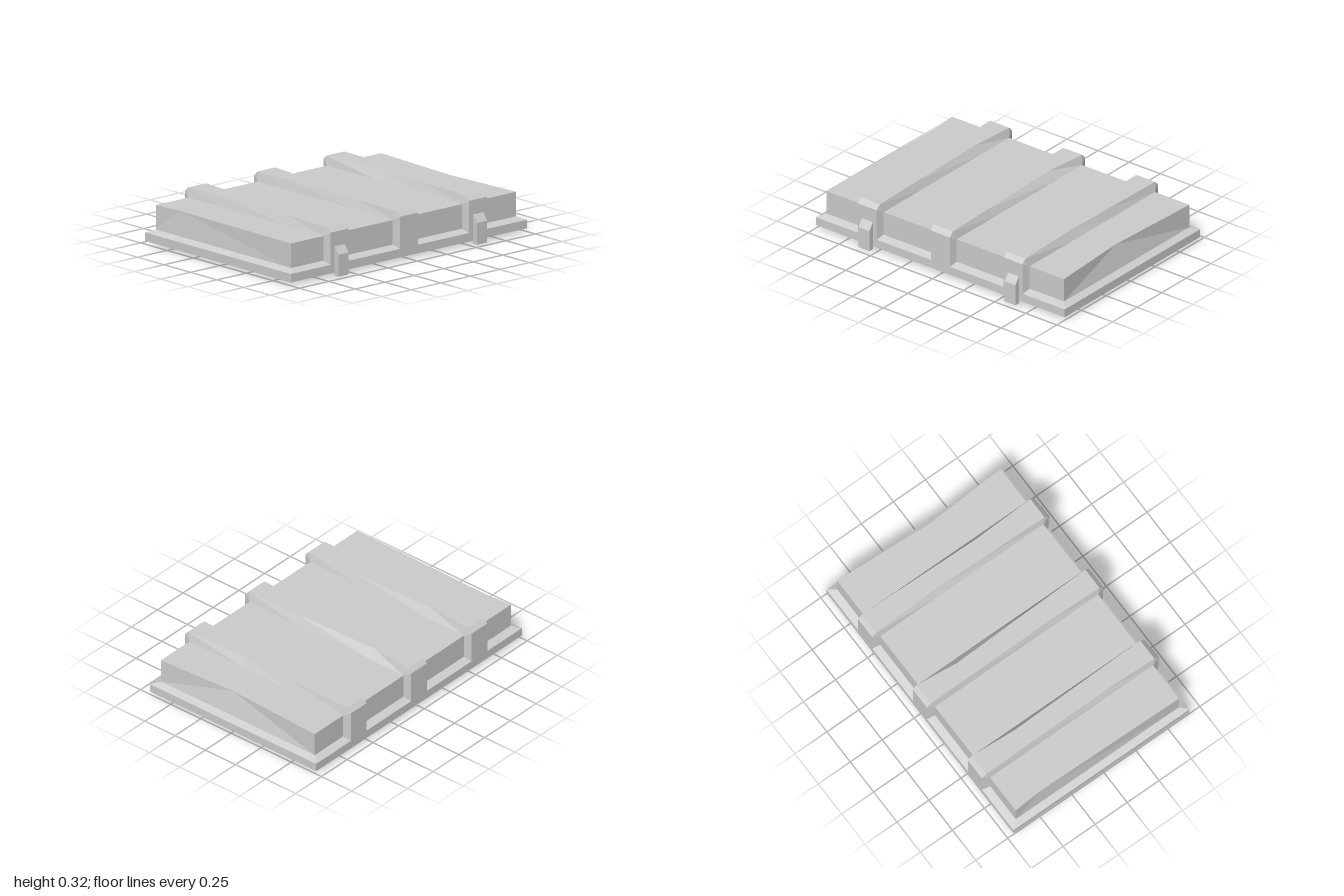
import * as THREE from 'three';

const mat = new THREE.MeshStandardMaterial({ color: 0xcccccc, flatShading: true, side: THREE.DoubleSide });

// Collects quads into one flat-shaded mesh
function quadMesh(name, quads) {
  const pos = [];
  for (const [a, b, c, d] of quads) pos.push(...a, ...b, ...c, ...a, ...c, ...d);
  const geo = new THREE.BufferGeometry();
  geo.setAttribute('position', new THREE.Float32BufferAttribute(pos, 3));
  geo.computeVertexNormals();
  const mesh = new THREE.Mesh(geo, mat);
  mesh.name = name;
  return mesh;
}

// Rectangular ring with a movable middle point on each short side
function ring(x, front, back, y, dentR = 0, dentL = 0) {
  return [
    [x, y, front], [x - dentR, y, 0.05], [x, y, back],
    [-x, y, back], [-x + dentL, y, -0.45], [-x, y, front],
  ];
}

// Lid: shallow recess with sloping sides, lower edge, rim, bevel, and walls to the top
function createLid() {
  const rings = [
    ring(0.89, 0.56, -0.595, 0.1),
    ring(0.955, 0.625, -0.66, 0.021),
    ring(1, 0.67, -0.706, 0.021),
    ring(1, 0.67, -0.706, 0.077),
    ring(0.955, 0.62, -0.655, 0.098),
    ring(0.955, 0.62, -0.655, 0.258, 0.035, 0.015),
  ];
  const quads = [];
  for (let r = 0; r < rings.length - 1; r++) {
    for (let i = 0; i < 6; i++) {
      const j = (i + 1) % 6;
      const [a, b, c, d] = [rings[r][i], rings[r][j], rings[r + 1][j], rings[r + 1][i]];
      // Quads starting at a middle point are split along the other diagonal
      quads.push(i % 3 === 1 ? [b, c, d, a] : [a, b, c, d]);
    }
  }
  const c = rings[0], t = rings[5];
  quads.push([t[0], t[1], t[4], t[5]], [t[1], t[2], t[3], t[4]]);
  quads.push([c[5], c[4], c[1], c[0]], [c[4], c[3], c[2], c[1]]);
  return quadMesh('lid', quads);
}

// Tapered strap wrapping front, top and back; each dent is [z, inward shift]
function createStrap(name, x, dentL, dentR) {
  const zs = [dentL[0], dentR[0]].sort((a, b) => b - a);
  // Stations: outer z, outer y, inner z, inner y
  const stations = [
    [0.67, 0.077, 0.62, 0.098], [0.67, 0.287, 0.62, 0.258], [0.64, 0.317, 0.62, 0.258],
    ...zs.map((z) => [z, 0.317, z, 0.258]),
    [-0.676, 0.317, -0.655, 0.258], [-0.706, 0.287, -0.655, 0.258], [-0.706, 0.077, -0.655, 0.098],
  ];
  const shift = ([zk, d], z) =>
    d * Math.max(0, z > zk ? (0.64 - z) / (0.64 - zk) : (z + 0.676) / (zk + 0.676));
  const sections = stations.map(([oz, oy, iz, iy]) => [
    [x - 0.092, iy, iz],
    [x - 0.076 + shift(dentL, oz), oy, oz],
    [x + 0.076 - shift(dentR, oz), oy, oz],
    [x + 0.092, iy, iz],
  ]);
  const quads = [];
  for (let s = 0; s < sections.length - 1; s++) {
    for (let j = 0; j < 3; j++) {
      quads.push([sections[s][j], sections[s][j + 1], sections[s + 1][j + 1], sections[s + 1][j]]);
    }
  }
  return quadMesh(name, quads);
}

// Clasp with a sloping top, hanging below the rim
function createClasp(name, x) {
  const width = 0.087;
  const side = new THREE.Shape([[0.67, 0], [0.705, 0], [0.705, 0.143], [0.67, 0.192]]
    .map(([z, y]) => new THREE.Vector2(-z, y)));
  const geo = new THREE.ExtrudeGeometry(side, { depth: width, bevelEnabled: false });
  geo.rotateY(Math.PI / 2);
  geo.translate(x - width / 2, 0, 0);
  const mesh = new THREE.Mesh(geo, mat);
  mesh.name = name;
  return mesh;
}

export function createModel() {
  const group = new THREE.Group();
  group.name = 'chestLid';
  group.add(
    createLid(),
    createStrap('rightStrap', -0.588, [0.25, 0.01], [-0.35, 0.02]),
    createStrap('middleStrap', 0, [0.25, 0.008], [-0.38, 0.03]),
    createStrap('leftStrap', 0.586, [-0.2, 0.018], [0.2, 0.015]),
    createClasp('rightClasp', -0.586),
    createClasp('leftClasp', 0.588),
  );
  return group;
}
